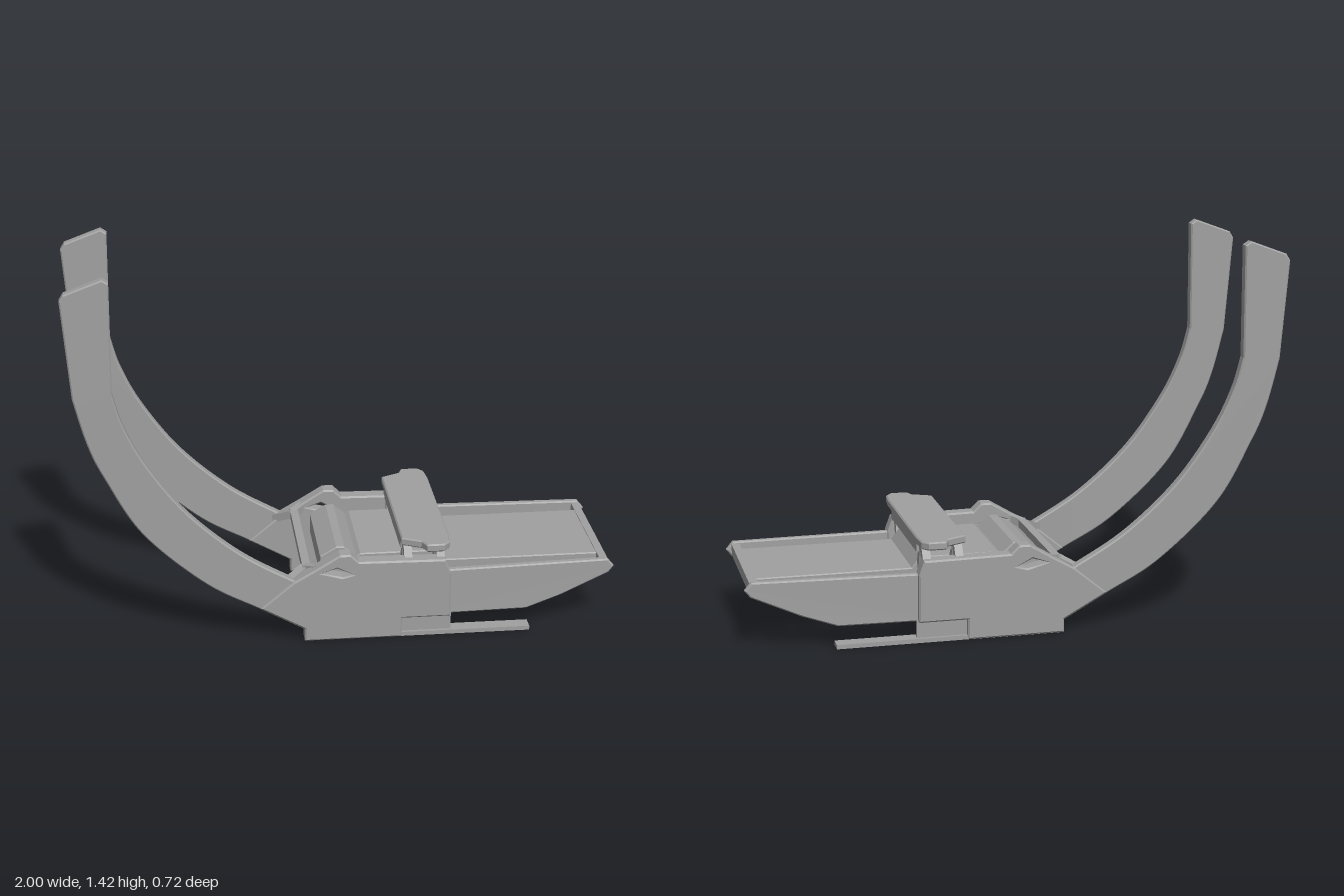
import * as THREE from 'three';

export function createModel() {
  const model = new THREE.Group();
  const grey = new THREE.MeshStandardMaterial({ color: 0xa0a0a0 });
  grey.name = 'plain grey';

  const makeShape = (pts) => new THREE.Shape(pts.map(([x, y]) => new THREE.Vector2(x, y)));

  // extrude an outline in x/y between z0 and z1, with slightly softened edges
  function slab(shape, z0, z1, bevel = 0.005) {
    const geo = new THREE.ExtrudeGeometry(shape, {
      depth: z1 - z0 - 2 * bevel, steps: 1, curveSegments: 10,
      bevelEnabled: bevel > 0, bevelThickness: bevel, bevelSize: bevel, bevelOffset: -bevel, bevelSegments: 1,
    });
    return geo.translate(0, 0, z0 + bevel);
  }
  function add(name, geo, parent = model) {
    const mesh = new THREE.Mesh(geo, grey);
    mesh.name = name;
    parent.add(mesh);
    return mesh;
  }
  function box(name, x0, x1, y0, y1, z0, z1, parent = model) {
    return add(name, new THREE.BoxGeometry(x1 - x0, y1 - y0, z1 - z0)
      .translate((x0 + x1) / 2, (y0 + y1) / 2, (z0 + z1) / 2), parent);
  }
  // rectangular strut between two points
  function strut(name, a, b, w, h, parent = model) {
    const p = new THREE.Vector3(...a), q = new THREE.Vector3(...b);
    const mesh = add(name, new THREE.BoxGeometry(w, h, p.distanceTo(q)), parent);
    mesh.position.copy(p).add(q).multiplyScalar(0.5);
    mesh.lookAt(q);
    return mesh;
  }

  // sweeping arm outline: straight tip running into a curved blade
  const arm = new THREE.Shape();
  arm.moveTo(-0.15, 0.05);
  arm.splineThru([[-0.32, 0.145], [-0.52, 0.26], [-0.74, 0.465], [-0.87, 0.69], [-0.925, 0.82], [-0.97, 0.99]]
    .map((p) => new THREE.Vector2(...p)));
  arm.lineTo(-1, 1.35);
  arm.lineTo(-0.985, 1.375);
  arm.lineTo(-0.85, 1.425);
  arm.lineTo(-0.828, 1.41);
  arm.lineTo(-0.83, 1.0);
  arm.splineThru([[-0.795, 0.88], [-0.72, 0.73], [-0.58, 0.54], [-0.39, 0.37], [-0.19, 0.25]]
    .map((p) => new THREE.Vector2(...p)));

  // side body with the small grip slot
  const body = makeShape([[-0.16, 0.01], [0.2, 0.01], [0.2, 0.085], [0.38, 0.085], [0.38, 0.26], [0.36, 0.315],
    [0.04, 0.32], [0.01, 0.35], [-0.03, 0.35], [-0.13, 0.29], [-0.2, 0.25], [-0.32, 0.15], [-0.16, 0.06]]);
  body.holes.push(new THREE.Path([[-0.1, 0.28], [-0.04, 0.298], [0.02, 0.27], [-0.02, 0.262]]
    .map((p) => new THREE.Vector2(...p))));

  // tapering front panel
  const panel = makeShape([[0.3, 0.085], [0.67, 0.085], [0.8, 0.13], [0.98, 0.21], [1, 0.235],
    [0.975, 0.265], [0.3, 0.262]]);

  for (const [side, s] of [['left', 1], ['right', -1]]) {
    const group = new THREE.Group();
    group.name = side + 'Rail';
    const z = (a, b) => (s > 0 ? [a, b] : [-b, -a]);
    add('arm', slab(arm, ...z(0.285, 0.326)), group);
    add('sideBody', slab(body, ...z(0.272, 0.332), 0.006), group);

    // panel leans inward towards its front end
    const panelGeo = slab(panel, ...z(0.283, 0.31));
    const pos = panelGeo.attributes.position;
    for (let i = 0; i < pos.count; i++) {
      pos.setZ(i, pos.getZ(i) - s * 0.025 * Math.max(0, (pos.getX(i) - 0.38) / 0.6));
    }
    panelGeo.computeVertexNormals();
    add('frontPanel', panelGeo, group);

    box('runner', -0.15, 0.68, 0.008, 0.024, ...z(0.268, 0.322), group);
    box('recessedPlate', 0.19, 0.385, 0.022, 0.09, ...z(0.29, 0.31), group);

    // braces between the body, crossbar and deck
    strut('rearBrace', [-0.15, 0.27, s * 0.25], [-0.22, 0.235, s * 0.3], 0.035, 0.03, group);
    strut('rearBraceFront', [-0.15, 0.27, s * 0.25], [-0.1, 0.285, s * 0.3], 0.03, 0.03, group);
    for (const x of [0.225, 0.345]) {
      strut('crossbarLeg', [x, 0.35, s * 0.235], [x, 0.24, s * 0.2], 0.03, 0.03, group);
      strut('crossbarFoot', [x, 0.36, s * 0.255], [x, 0.29, s * 0.3], 0.03, 0.03, group);
    }
    model.add(group);
  }

  // central deck with a raised rear lip and pad
  const deck = makeShape([[-0.09, 0.215], [0.98, 0.215], [0.98, 0.255], [0.38, 0.255], [0.35, 0.295],
    [0.06, 0.295], [0.045, 0.285], [0.0, 0.325], [-0.03, 0.325], [-0.09, 0.29]]);
  add('deck', slab(deck, -0.2, 0.2, 0.004));

  // bars joining both sides
  box('frontBar', 0.95, 0.98, 0.215, 0.258, -0.28, 0.28);
  box('rearBar', -0.162, -0.132, 0.255, 0.285, -0.27, 0.27);

  // crossbar with narrower tips
  const half = [[0.2, 0.29], [0.27, 0.325], [0.285, 0.362], [0.35, 0.362], [0.372, 0.335], [0.378, 0.27]];
  const plate = makeShape([...half, ...half.map(([x, z]) => [x, -z]).reverse()].reverse());
  add('crossbar', slab(plate, 0.362, 0.392, 0.005).rotateX(-Math.PI / 2));
  box('crossbarBeam', 0.205, 0.37, 0.325, 0.37, -0.235, 0.235);

  return model;
}
